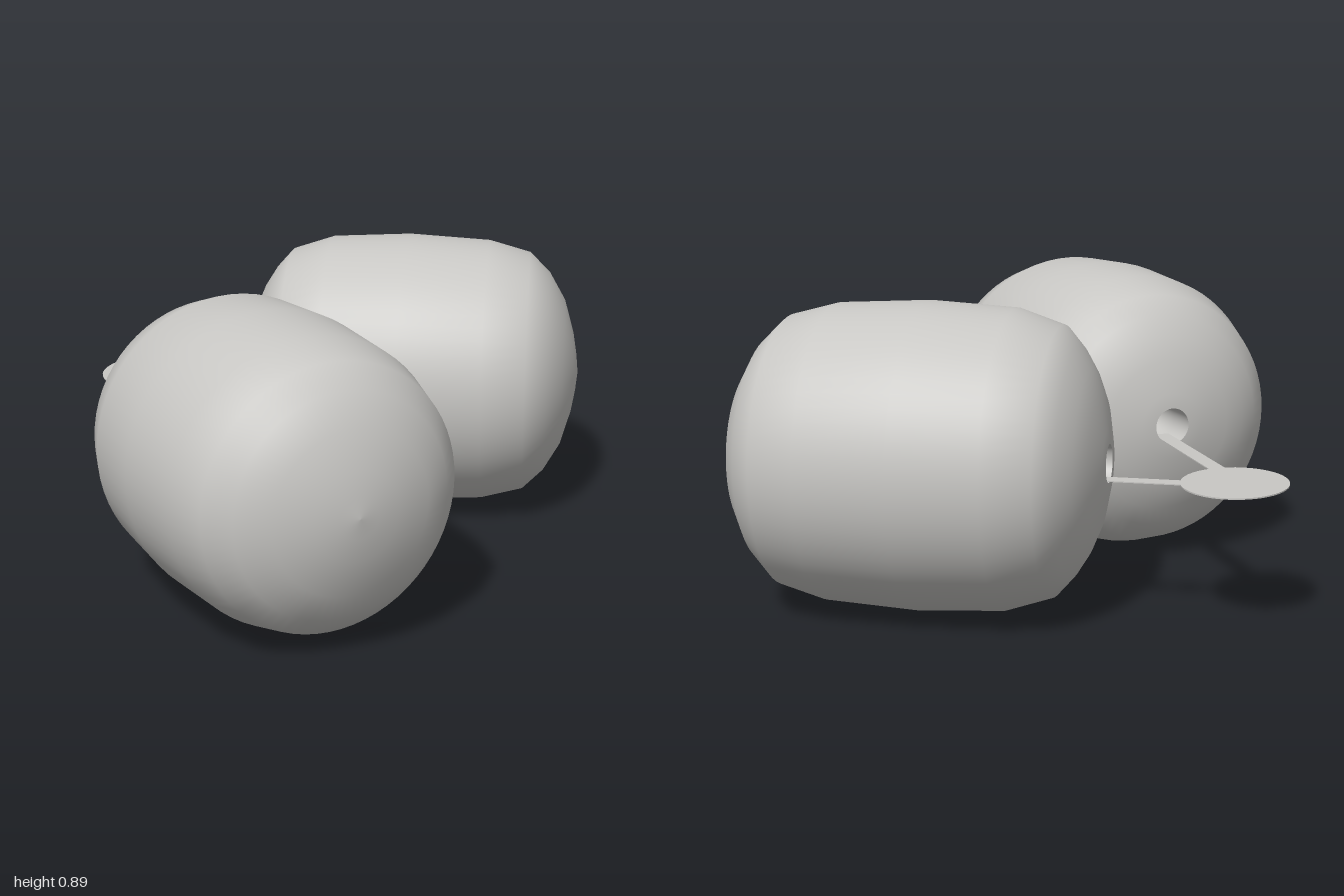
import * as THREE from 'three';

const CENTRE_Y = 0.447;
const TAG_Y = 0.402;
const HOLE_R = 0.055;

// Profiles as [radius, distance along the axis from the cord end]
const SHELL = [
  [HOLE_R, 0], [0.1, 0.003], [0.2, 0.026], [0.27, 0.055], [0.33, 0.092], [0.387, 0.142],
  [0.431, 0.275], [0.445, 0.53], [0.431, 0.795], [0.395, 0.93], [0.33, 0.997],
  [0.24, 1.05], [0.13, 1.082], [0.06, 1.094], [0, 1.1],
];
const HOLE = [[0, 0.25], [HOLE_R, 0.25], [HOLE_R, 0.1], [HOLE_R, 0]];

export function createModel() {
  const model = new THREE.Group();
  model.name = 'taggedPair';
  const grey = new THREE.MeshStandardMaterial({ color: 0xc8c7c4 });
  grey.name = 'light grey';

  const lathe = (profile, name) => {
    const points = profile.map(([r, t]) => new THREE.Vector2(r, t));
    const mesh = new THREE.Mesh(new THREE.LatheGeometry(points, 64), grey);
    mesh.name = name;
    return mesh;
  };

  // Rounded barrel with a small socket in its cord end
  const addBarrel = (name, x, z, dx, dz) => {
    const barrel = new THREE.Group();
    barrel.name = name;
    barrel.add(lathe(SHELL, 'shell'), lathe(HOLE, 'socket'));
    barrel.position.set(x, CENTRE_Y, z);
    barrel.quaternion.setFromUnitVectors(
      new THREE.Vector3(0, 1, 0), new THREE.Vector3(dx, 0, dz).normalize());
    model.add(barrel);
  };
  addBarrel('rearBarrel', -0.3, -0.555, 1, 0);
  addBarrel('frontBarrel', -0.4, -0.012, 0.565, 0.825);

  // Flat oval tag
  const tag = new THREE.Mesh(new THREE.CylinderGeometry(1, 1, 0.004, 48), grey);
  tag.name = 'tag';
  tag.scale.set(0.153, 1, 0.188);
  tag.position.set(-0.653, TAG_Y, -0.53);
  model.add(tag);

  // Flat strips running from the tag into the sockets
  const addStrip = (name, x0, z0, x1, z1) => {
    const length = Math.hypot(x1 - x0, z1 - z0);
    const strip = new THREE.Mesh(new THREE.BoxGeometry(length, 0.003, 0.05), grey);
    strip.name = name;
    strip.position.set((x0 + x1) / 2, TAG_Y, (z0 + z1) / 2);
    strip.rotation.y = -Math.atan2(z1 - z0, x1 - x0);
    model.add(strip);
  };
  addStrip('rearStrip', -0.53, -0.56, -0.2, -0.56);
  addStrip('frontStrip', -0.6, -0.4, -0.352, 0.068);

  return model;
}
